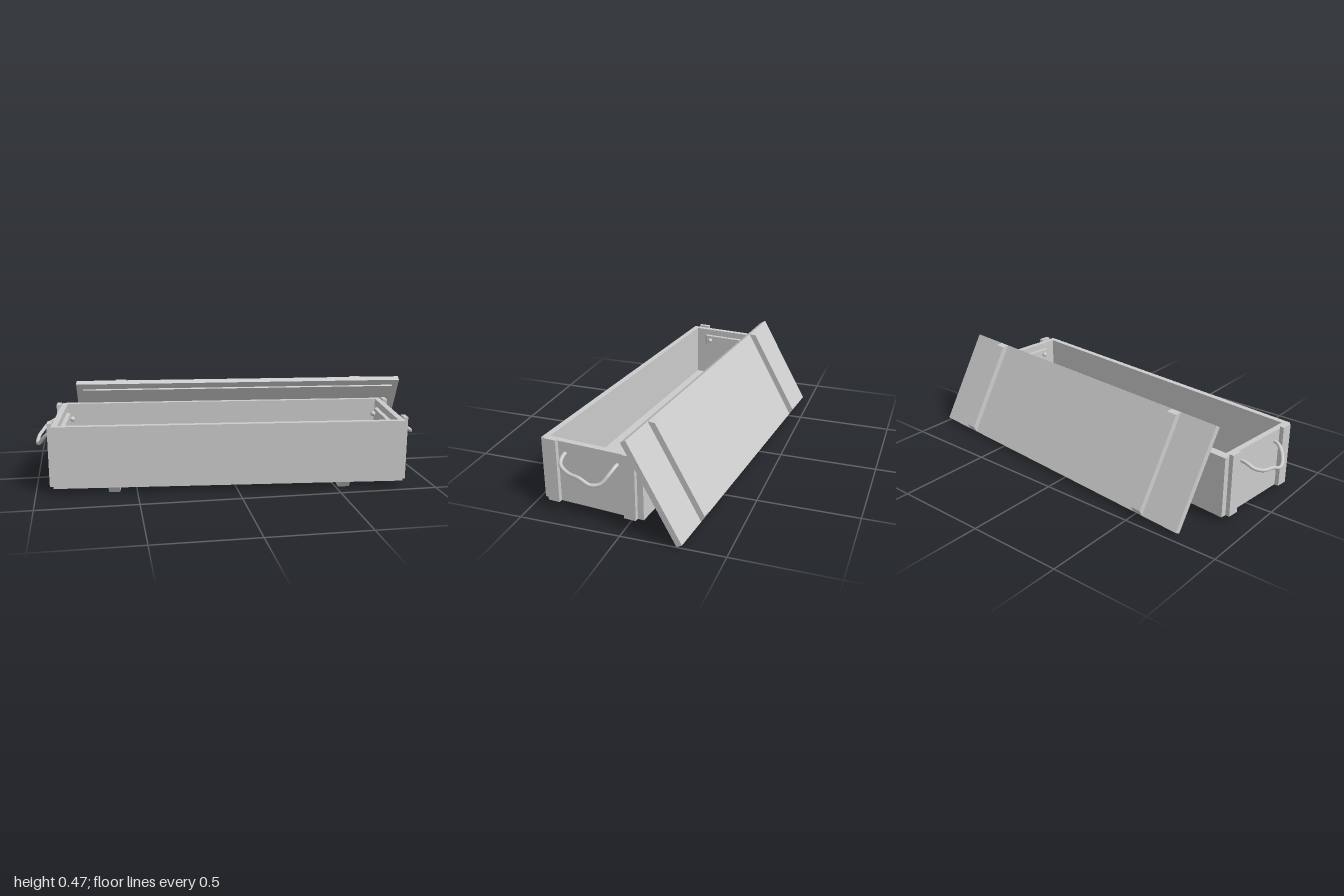
import * as THREE from 'three';

const material = new THREE.MeshStandardMaterial({ color: 0xcccccc });

function add(parent, name, geometry, x = 0, y = 0, z = 0) {
  const mesh = new THREE.Mesh(geometry, material);
  mesh.name = name;
  mesh.position.set(x, y, z);
  parent.add(mesh);
  return mesh;
}

function box(parent, name, w, h, d, x, y, z) {
  return add(parent, name, new THREE.BoxGeometry(w, h, d), x, y, z);
}

// Batten with sloped ends: length along x, rising from y = 0, width along z
function battenGeometry(length, thick, width, bevel) {
  const a = length / 2, b = a - bevel;
  const shape = new THREE.Shape([
    new THREE.Vector2(-a, 0), new THREE.Vector2(a, 0),
    new THREE.Vector2(b, thick), new THREE.Vector2(-b, thick),
  ]);
  return new THREE.ExtrudeGeometry(shape, { depth: width, bevelEnabled: false })
    .translate(0, 0, -width / 2);
}

const L = 1.757, W = 0.527, T = 0.03;   // crate length, width, board thickness
const BASE = 0.03, TOP = 0.345;

function createEnd() {
  const end = new THREE.Group();
  const H = TOP - BASE, X = L / 2;
  box(end, 'endWall', T, H, W - 2 * T, X - T / 2, BASE + H / 2, 0);
  // outer corner strips, standing slightly proud of the rim
  for (const s of [-1, 1]) {
    box(end, 'endStrip', 0.022, 0.325, 0.06, X + 0.011, BASE + 0.1625, s * 0.203);
  }
  // inner cleat that holds the rope
  const cleat = battenGeometry(0.36, 0.022, 0.06, 0.02);
  cleat.rotateX(Math.PI / 2).rotateY(-Math.PI / 2);
  add(end, 'ropeCleat', cleat, X - T, 0.28, 0);
  // sagging rope handle with knotted ends
  const path = new THREE.CatmullRomCurve3([
    [0.815, 0.285, 0.135], [0.9, 0.285, 0.135], [0.943, 0.263, 0.122],
    [0.965, 0.241, 0.07], [0.973, 0.234, 0.01], [0.976, 0.213, -0.05],
    [0.96, 0.22, -0.092], [0.93, 0.26, -0.122], [0.895, 0.285, -0.135],
    [0.815, 0.285, -0.135],
  ].map((p) => new THREE.Vector3(...p)));
  add(end, 'ropeHandle', new THREE.TubeGeometry(path, 48, 0.0095, 8));
  for (const s of [-1, 1]) {
    add(end, 'ropeKnot', new THREE.SphereGeometry(0.014, 10, 8), 0.815, 0.285, s * 0.135);
  }
  return end;
}

function createCrate() {
  const crate = new THREE.Group();
  crate.name = 'crate';
  const H = TOP - BASE;
  box(crate, 'floor', L - 2 * T, 0.025, W - 2 * T, 0, BASE + 0.0125, 0);
  for (const s of [-1, 1]) {
    box(crate, s > 0 ? 'frontWall' : 'backWall', L, H, T, 0, BASE + H / 2, s * (W - T) / 2);
    // runner under the floor
    const foot = battenGeometry(W, BASE, 0.057, 0.02);
    foot.rotateX(Math.PI).rotateY(Math.PI / 2);
    add(crate, 'foot', foot, s * 0.58, BASE, 0);
    // the second end is the first one turned half a circle
    const end = createEnd();
    end.name = s > 0 ? 'leftEnd' : 'rightEnd';
    if (s < 0) end.rotation.y = Math.PI;
    crate.add(end);
  }
  return crate;
}

// Lid: y runs up the slope, +z is its inner face, origin on its lower inner edge
function createLid() {
  const lid = new THREE.Group();
  lid.name = 'lid';
  box(lid, 'lidBoard', 1.768, W, T, 0, W / 2, -T / 2);
  box(lid, 'lidInnerPanel', 1.768 - 0.07, W - 0.07, 0.01, 0, W / 2, 0.005);
  for (const s of [-1, 1]) {
    const batten = battenGeometry(W, 0.03, 0.057, 0.02);
    batten.rotateZ(Math.PI / 2).rotateY(Math.PI / 2);
    // after turning, the batten rises towards -z
    batten.computeBoundingBox();
    if (batten.boundingBox.max.z > 0.01) batten.rotateY(Math.PI);
    add(lid, 'lidBatten', batten, s * 0.645, W / 2, -T);
  }
  return lid;
}

export function createModel() {
  const model = new THREE.Group();
  model.name = 'openCrate';
  const turn = -0.092;

  const crate = createCrate();
  crate.position.set(-0.013, 0, 0.11);
  crate.rotation.y = turn;
  model.add(crate);

  // lid leaning against the back of the crate
  const leaning = new THREE.Group();
  leaning.name = 'leaningLid';
  leaning.position.set(0.118, 0, -0.351);
  leaning.rotation.y = turn;
  const lid = createLid();
  lid.rotation.x = Math.PI / 6;
  leaning.add(lid);
  model.add(leaning);
  return model;
}
